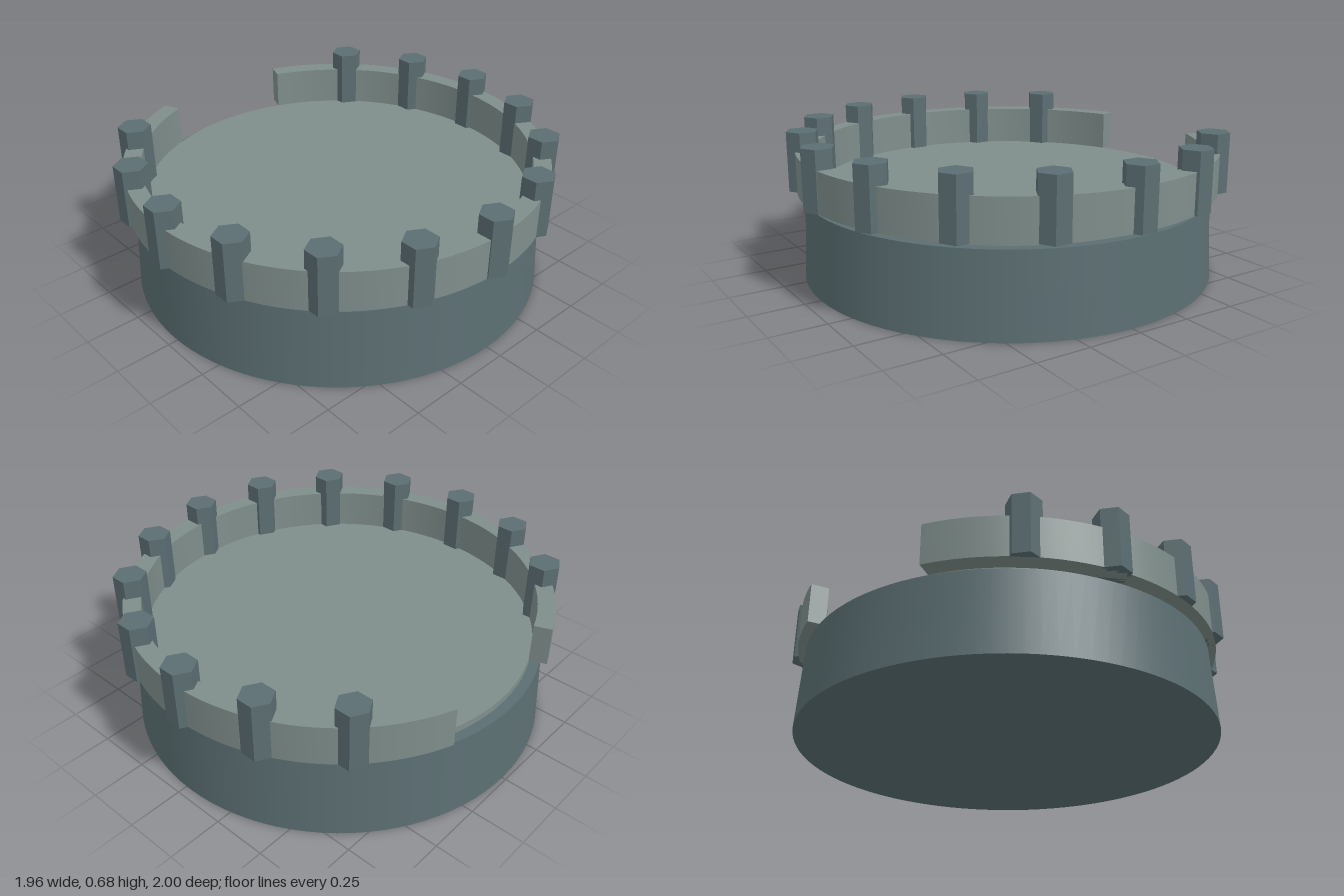
import * as THREE from 'three';
import { toCreasedNormals } from 'three/addons/utils/BufferGeometryUtils.js';

export function createModel() {
  const model = new THREE.Group();
  const dark = new THREE.MeshStandardMaterial({ color: 0x5b6e72 });
  const light = new THREE.MeshStandardMaterial({ color: 0x7f8e8b });
  const darkFlat = dark.clone();
  darkFlat.flatShading = true;

  const add = (name, geometry, material, x = 0, y = 0, z = 0) => {
    const mesh = new THREE.Mesh(geometry, material);
    mesh.name = name;
    mesh.position.set(x, y, z);
    model.add(mesh);
  };

  // Tapered drum
  const drumHeight = 0.372;
  add('base', new THREE.CylinderGeometry(0.935, 0.955, drumHeight, 96), dark, 0, drumHeight / 2);

  // Thin floor disc, narrower than the drum
  const floorTop = 0.403;
  const floorHeight = floorTop - drumHeight;
  add('floor', new THREE.CylinderGeometry(0.89, 0.89, floorHeight, 96), light, 0, drumHeight + floorHeight / 2);

  // Parapet wall, open on the -x side
  const end = THREE.MathUtils.degToRad(159.3);
  const arc = new THREE.Shape();
  arc.absarc(0, 0, 0.97, -end, end, false);
  arc.absarc(0, 0, 0.89, end, -end, true);
  arc.closePath();
  const wall = new THREE.ExtrudeGeometry(arc, { depth: 0.185, bevelEnabled: false, curveSegments: 84 });
  wall.rotateX(-Math.PI / 2);
  add('parapet', toCreasedNormals(wall, 0.5), light, 0, floorTop);

  // Hexagonal posts, corners pointing along x
  const postHeight = 0.272;
  const post = new THREE.CylinderGeometry(0.075, 0.075, postHeight, 6);
  post.rotateY(Math.PI / 2);
  for (let i = -6; i <= 6; i++) {
    const a = (i * Math.PI) / 8;
    add('post', post, darkFlat, 0.935 * Math.cos(a), floorTop + postHeight / 2, 0.935 * Math.sin(a));
  }

  // Posts overhang only on +x, so shift everything to centre the bounds
  model.children.forEach((mesh) => { mesh.position.x -= 0.028; });
  return model;
}
